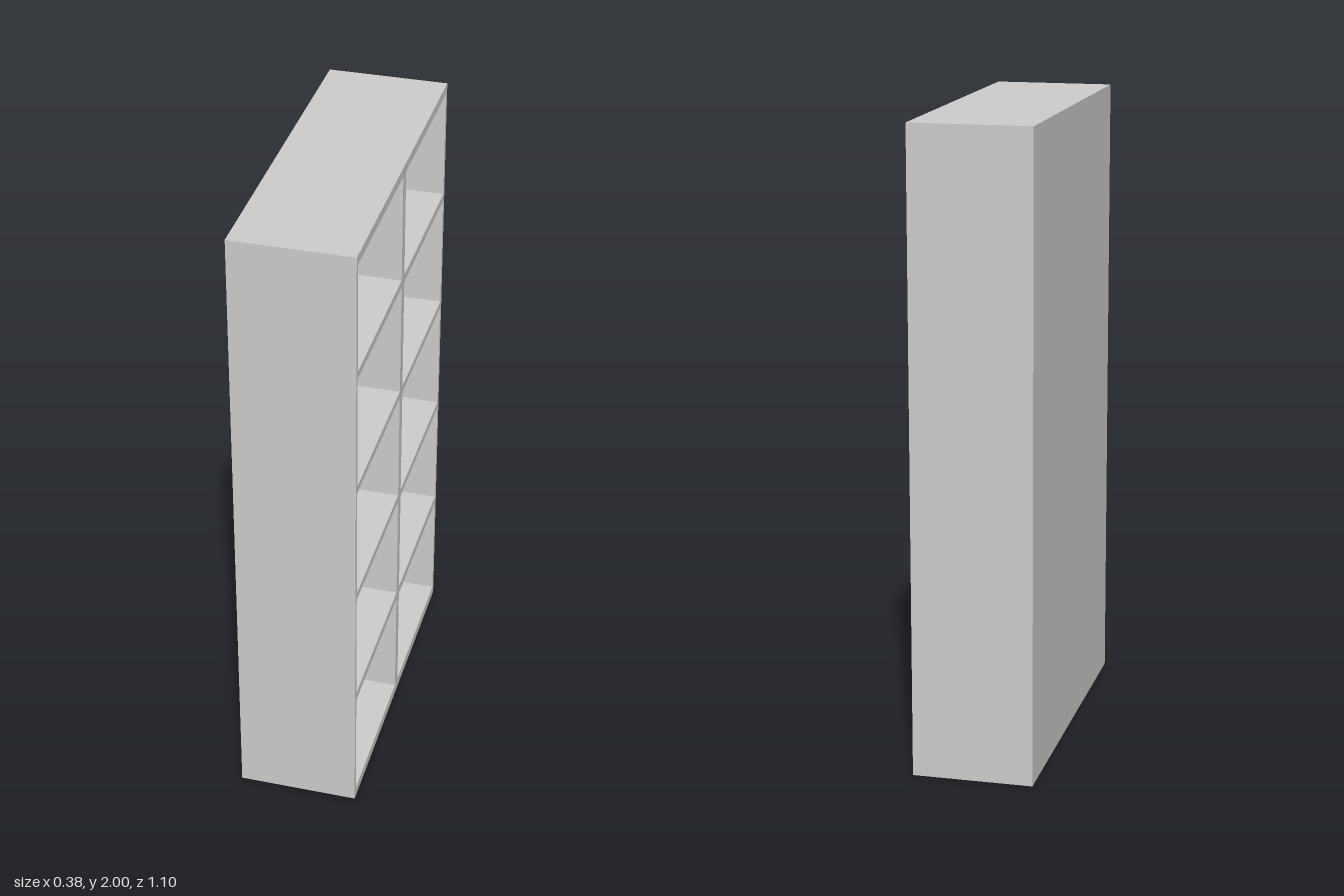
import * as THREE from 'three';

const HALF_X = 0.188, HALF_Z = 0.55, HEIGHT = 2;
const BACK = 0.044;        // back panel thickness
const SIDE = 0.016;        // side wall thickness
const HALF_DIVIDER = 0.017;
// bottom and top of each row of compartments
const ROWS = [[0.034, 0.402], [0.431, 0.8], [0.825, 1.197], [1.221, 1.595], [1.62, 1.97]];

function rectangle(target, x0, y0, x1, y1) {
  target.moveTo(x0, y0);
  target.lineTo(x1, y0);
  target.lineTo(x1, y1);
  target.lineTo(x0, y1);
  target.closePath();
  return target;
}

export function createModel() {
  const group = new THREE.Group();
  group.name = 'bookcase';
  const material = new THREE.MeshStandardMaterial({ color: 0xcccccc });

  // Walls, shelves and centre divider: one slab with a hole per compartment, open towards +x
  const outline = rectangle(new THREE.Shape(), -HALF_Z, 0, HALF_Z, HEIGHT);
  for (const [bottom, top] of ROWS) {
    for (const [a, b] of [[-HALF_Z + SIDE, -HALF_DIVIDER], [HALF_DIVIDER, HALF_Z - SIDE]]) {
      outline.holes.push(rectangle(new THREE.Path(), a, bottom, b, top));
    }
  }
  const frameGeometry = new THREE.ExtrudeGeometry(outline, { depth: 2 * HALF_X - BACK, bevelEnabled: false });
  frameGeometry.rotateY(Math.PI / 2);
  const frame = new THREE.Mesh(frameGeometry, material);
  frame.name = 'shelfFrame';
  frame.position.x = -HALF_X + BACK;
  group.add(frame);

  // Closed back
  const back = new THREE.Mesh(new THREE.BoxGeometry(BACK, HEIGHT, 2 * HALF_Z), material);
  back.name = 'backPanel';
  back.position.set(-HALF_X + BACK / 2, HEIGHT / 2, 0);
  group.add(back);

  return group;
}
